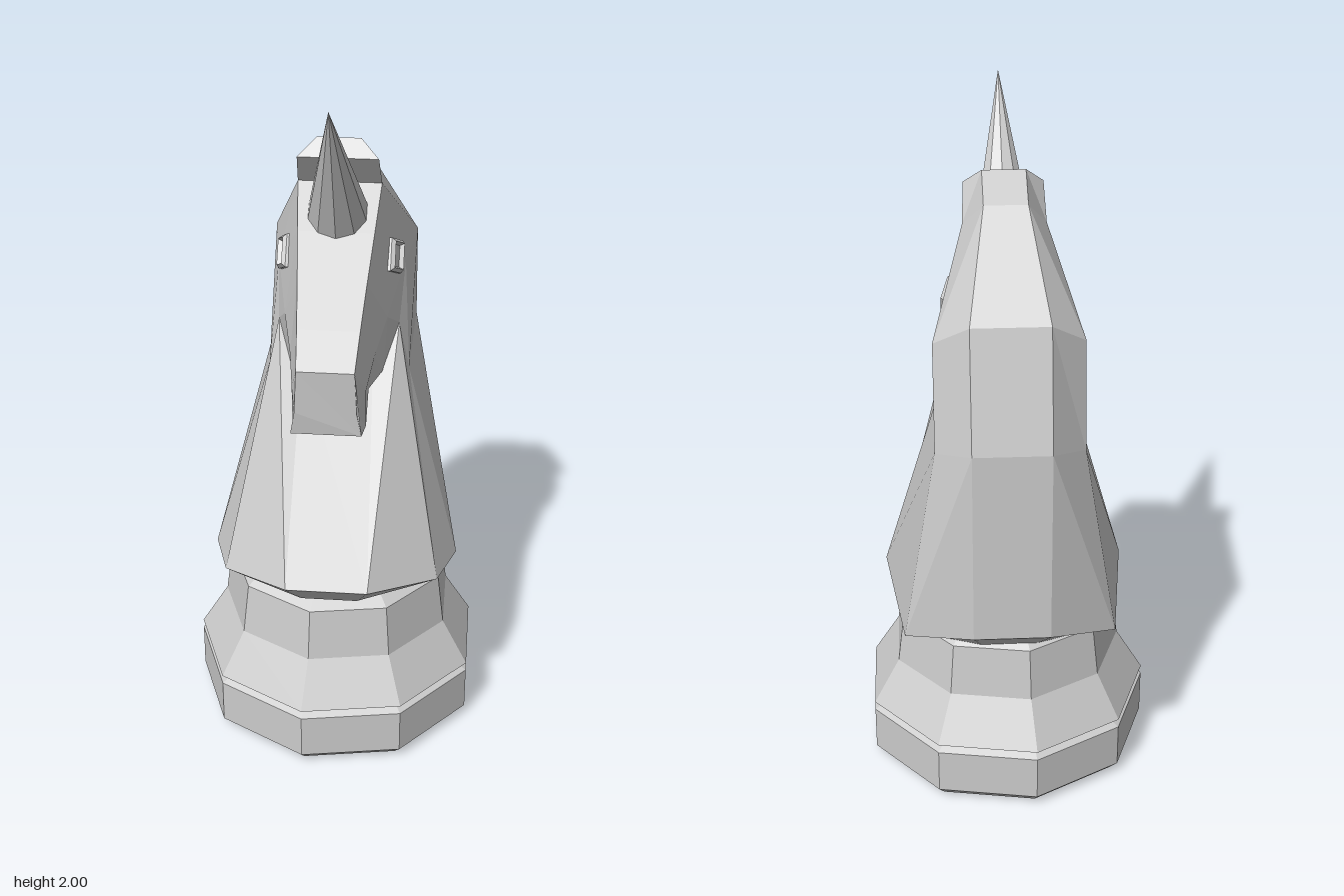
import * as THREE from 'three';

// Lofts a closed skin through rings; each ring lists its +x half and is mirrored to -x.
function loftMirrored(halfRings) {
  const rings = halfRings.map(half => [
    ...half.map(p => new THREE.Vector3(...p)),
    ...half.map(([x, y, z]) => new THREE.Vector3(-x, y, z)).reverse(),
  ]);
  const pos = [];
  const tri = (a, b, c) => { for (const v of [a, b, c]) pos.push(v.x, v.y, v.z); };
  const n = rings[0].length;
  for (let r = 0; r < rings.length - 1; r++) {
    const a = rings[r], b = rings[r + 1];
    for (let i = 0; i < n; i++) {
      const j = (i + 1) % n;
      // Mirror the diagonal too, so both sides match
      if (i < n / 2) { tri(a[i], a[j], b[j]); tri(a[i], b[j], b[i]); }
      else { tri(a[i], a[j], b[i]); tri(a[j], b[j], b[i]); }
    }
  }
  const first = rings[0], last = rings[rings.length - 1];
  for (let i = 1; i < n - 1; i++) {
    tri(first[0], first[i + 1], first[i]);
    tri(last[0], last[i], last[i + 1]);
  }
  const g = new THREE.BufferGeometry();
  g.setAttribute('position', new THREE.Float32BufferAttribute(pos, 3));
  g.computeVertexNormals();
  return g;
}

function faceted(geometry) {
  const g = geometry.toNonIndexed();
  g.computeVertexNormals();
  return g;
}

const profile = pts => pts.map(([r, y]) => new THREE.Vector2(r, y));

export function createModel() {
  const model = new THREE.Group();
  model.name = 'unicornChessPiece';
  const stone = new THREE.MeshStandardMaterial({ color: 0xcccccc, flatShading: true });
  stone.name = 'paleGrey';

  const add = (name, geometry) => {
    const mesh = new THREE.Mesh(geometry, stone);
    mesh.name = name;
    mesh.position.x = 0.01;
    model.add(mesh);
    return mesh;
  };

  // Nine-sided turned foot and collar
  add('base', faceted(new THREE.LatheGeometry(profile([
    [0, 0], [0.395, 0], [0.425, 0.03], [0.425, 0.165], [0.4, 0.178],
    [0.425, 0.192], [0.345, 0.325], [0.325, 0.48], [0.285, 0.505], [0, 0.505],
  ]), 9, -Math.PI / 2)));

  // Neck and mane, bottom to top; each half ring runs front, side, back
  add('neckAndMane', loftMirrored([
    [[0.08, 0.535, 0.33], [0.22, 0.515, 0.22], [0.25, 0.505, 0.05], [0.2, 0.485, -0.24], [0.08, 0.48, -0.28]],
    [[0.115, 0.625, 0.42], [0.305, 0.58, 0.265], [0.355, 0.56, 0.09], [0.3, 0.55, -0.325], [0.108, 0.6, -0.43]],
    [[0.1, 1.165, 0.055], [0.17, 1.265, 0], [0.2, 1.12, -0.005], [0.205, 1.135, -0.325], [0.108, 1.175, -0.43]],
    [[0.09, 1.35, 0], [0.16, 1.4, -0.06], [0.18, 1.41, -0.1], [0.205, 1.435, -0.27], [0.108, 1.51, -0.345]],
    [[0.04, 1.675, -0.02], [0.08, 1.675, -0.02], [0.114, 1.675, -0.02], [0.115, 1.675, -0.02], [0.06, 1.755, -0.1]],
    [[0.04, 1.77, 0.048], [0.08, 1.77, 0.048], [0.109, 1.77, 0.048], [0.11, 1.77, 0.048], [0.06, 1.815, 0.012]],
  ]));

  // Head, poll to muzzle; each half ring runs jaw, cheek, brow
  add('head', loftMirrored([
    [[0.17, 1.265, 0], [0.18, 1.41, -0.1], [0.115, 1.675, -0.02]],
    [[0.13, 1.145, 0.065], [0.142, 1.33, 0.1], [0.104, 1.58, 0.102]],
    [[0.1, 1.17, 0.22], [0.115, 1.27, 0.22], [0.093, 1.486, 0.22]],
    [[0.1, 1.105, 0.31], [0.1, 1.22, 0.32], [0.084, 1.4, 0.33]],
    [[0.095, 1.13, 0.41], [0.083, 1.2, 0.42], [0.077, 1.325, 0.425]],
  ]));

  // Horn leaning forward from the forehead
  const up = new THREE.Vector3(0, 1, 0);
  const root = new THREE.Vector3(0, 1.61, 0.045), tip = new THREE.Vector3(0, 2, 0.32);
  const axis = tip.clone().sub(root);
  const horn = add('horn', new THREE.ConeGeometry(0.085, axis.length(), 10));
  horn.position.addVectors(root, tip).multiplyScalar(0.5).setX(0.01);
  horn.quaternion.setFromUnitVectors(up, axis.normalize());

  // Diamond eyes with a raised rim and sunken centre
  const eyeGeometry = faceted(new THREE.LatheGeometry(profile([
    [0.07, -0.03], [0.07, 0.006], [0.056, 0.016], [0.046, 0.004], [0, 0.004],
  ]), 4));
  for (const side of [1, -1]) {
    const eye = add(side > 0 ? 'leftEye' : 'rightEye', eyeGeometry);
    eye.position.set(0.01 + side * 0.152, 1.463, -0.015);
    eye.quaternion.setFromUnitVectors(up, new THREE.Vector3(side * 0.96, 0.17, 0.22).normalize());
    eye.scale.x = 0.88;
  }
  return model;
}
